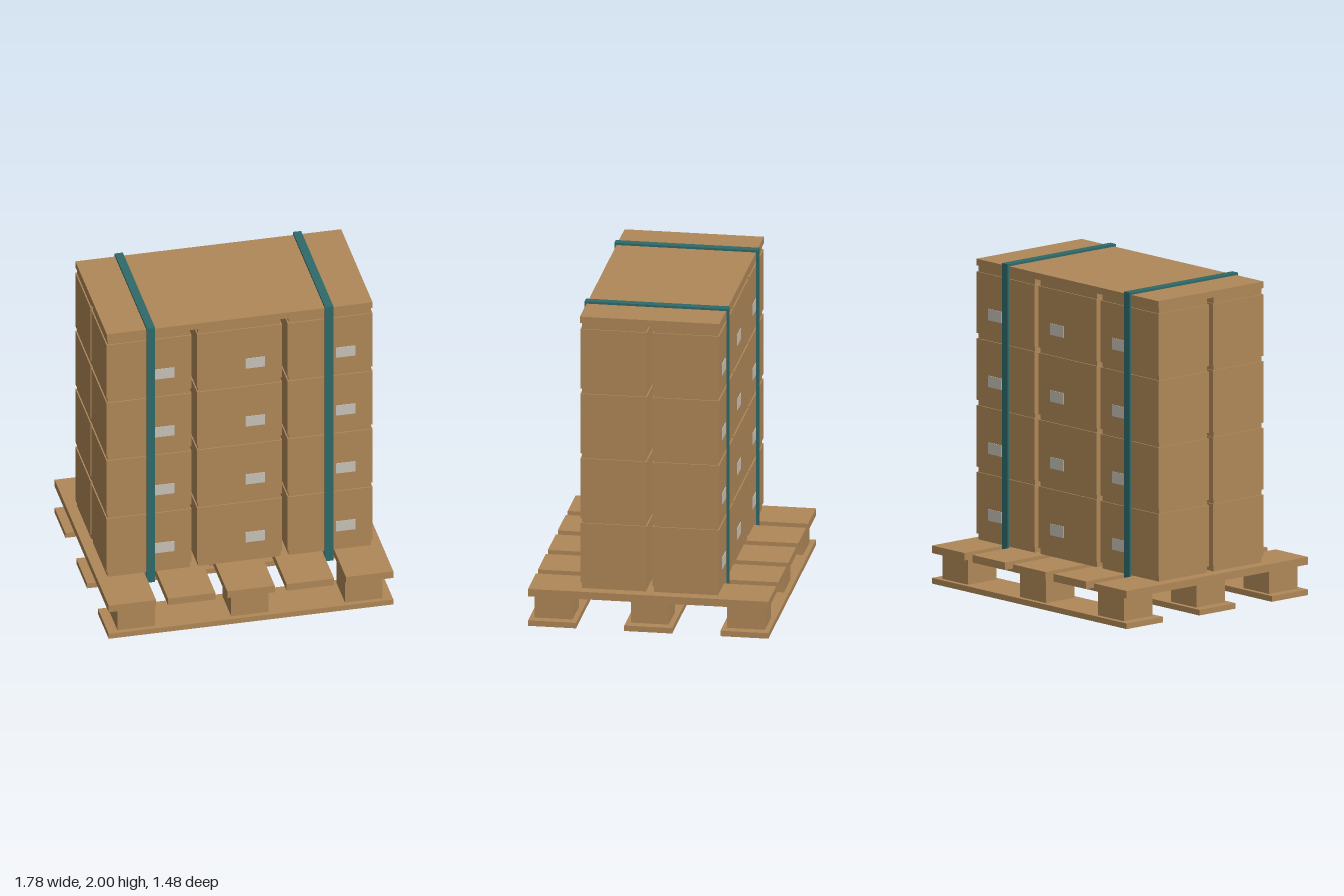
import * as THREE from 'three';

const wood = new THREE.MeshStandardMaterial({ color: 0xb08858 });
wood.name = 'cardboardAndWood';
const teal = new THREE.MeshStandardMaterial({ color: 0x2f6a6a });
teal.name = 'strapTeal';
const paper = new THREE.MeshStandardMaterial({ color: 0xc8c3b9 });
paper.name = 'labelGrey';

// Box given by its lower and upper corners
function box(parent, name, material, [x0, y0, z0], [x1, y1, z1]) {
  const mesh = new THREE.Mesh(new THREE.BoxGeometry(x1 - x0, y1 - y0, z1 - z0), material);
  mesh.position.set((x0 + x1) / 2, (y0 + y1) / 2, (z0 + z1) / 2);
  mesh.name = name;
  parent.add(mesh);
}

function createPallet() {
  const pallet = new THREE.Group();
  pallet.name = 'pallet';
  // Three runners, each with three blocks
  for (const z of [-0.593, 0, 0.593]) {
    box(pallet, 'bottomBoard', wood, [-0.888, 0, z - 0.148], [0.888, 0.035, z + 0.148]);
    for (const x of [-0.71, 0, 0.71]) {
      box(pallet, 'block', wood, [x - 0.117, 0.035, z - 0.117], [x + 0.117, 0.19, z + 0.117]);
    }
  }
  // Five deck boards running front to back
  for (let i = -2; i <= 2; i++) {
    const x = i * 0.37;
    box(pallet, 'deckBoard', wood, [x - 0.148, 0.19, -0.741], [x + 0.148, 0.237, 0.741]);
  }
  return pallet;
}

function createCartons() {
  const cartons = new THREE.Group();
  cartons.name = 'cartons';
  for (const x of [-0.565, 0, 0.565]) {
    for (const side of [-1, 1]) {
      const z = side * 0.2225;
      for (let layer = 0; layer < 4; layer++) {
        const y = 0.277 + layer * 0.4155;
        // Narrow base under each carton
        box(cartons, 'cartonBase', wood, [x - 0.257, y - 0.038, z - 0.197], [x + 0.257, y, z + 0.197]);
        box(cartons, 'carton', wood, [x - 0.265, y, z - 0.205], [x + 0.265, y + 0.3825, z + 0.205]);
        // Label on the outward face
        const face = side * 0.4285;
        box(cartons, 'label', paper, [x + 0.035, y + 0.097, face - 0.003], [x + 0.157, y + 0.168, face + 0.003]);
      }
      box(cartons, 'cartonTop', wood, [x - 0.257, 1.906, z - 0.197], [x + 0.257, 1.945, z + 0.197]);
    }
  }
  box(cartons, 'topSheet', wood, [-0.829, 1.945, -0.43], [0.829, 1.986, 0.43]);
  return cartons;
}

// Closed strap loop around the load and under the deck
function createStrap(x) {
  const strap = new THREE.Group();
  strap.name = 'strap';
  const a = x - 0.026, b = x + 0.026;
  box(strap, 'strapTop', teal, [a, 1.986, -0.443], [b, 2, 0.443]);
  box(strap, 'strapBottom', teal, [a, 0.177, -0.443], [b, 0.19, 0.443]);
  box(strap, 'strapFront', teal, [a, 0.19, 0.431], [b, 1.986, 0.443]);
  box(strap, 'strapBack', teal, [a, 0.19, -0.443], [b, 1.986, -0.431]);
  return strap;
}

export function createModel() {
  const model = new THREE.Group();
  model.name = 'loadedPallet';
  model.add(createPallet(), createCartons(), createStrap(-0.556), createStrap(0.556));
  return model;
}
